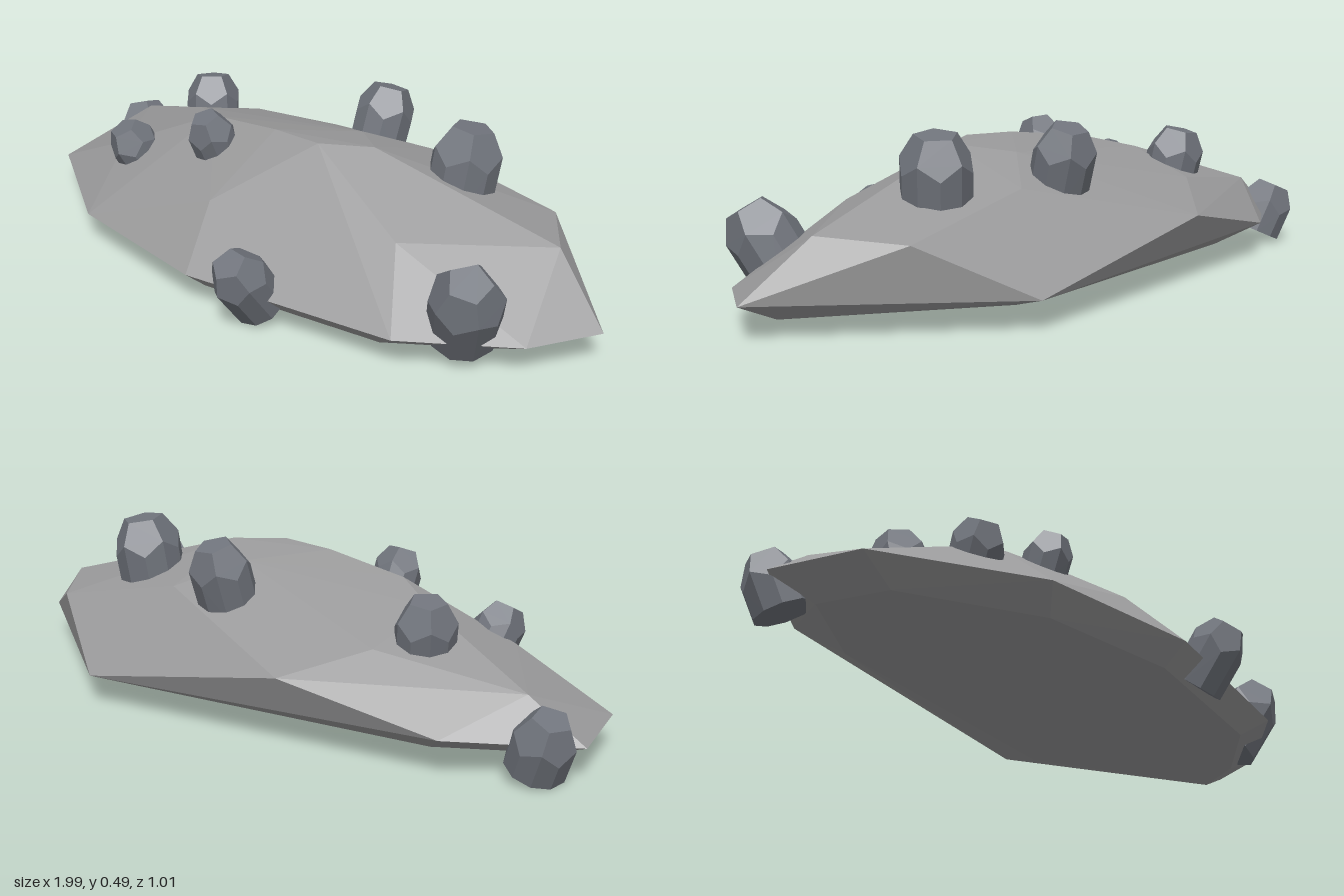
import * as THREE from 'three';
import { ConvexGeometry } from 'three/addons/geometries/ConvexGeometry.js';

const stone = new THREE.MeshStandardMaterial({ color: 0x9a9a9b, flatShading: true });
stone.name = 'pale stone';
const pebbleGrey = new THREE.MeshStandardMaterial({ color: 0x70747c, flatShading: true });
pebbleGrey.name = 'slate grey';

const V = (x, y, z) => new THREE.Vector3(x, y, z);

function hull(points, material, name) {
  const mesh = new THREE.Mesh(new ConvexGeometry(points), material);
  mesh.name = name;
  return mesh;
}

// Half dodecahedron dome on a straight ten-sided stem, aimed along an axis
function makePebble([x, y, z], axis, r, depth, spin) {
  const points = [];
  for (let i = 0; i < 5; i++) {
    const a = spin + (i * Math.PI * 2) / 5;
    const ring = (angle, radius, h) => points.push(V(Math.cos(angle) * radius, h, Math.sin(angle) * radius));
    ring(a, 0.607 * r, 0.795 * r);
    ring(a, 0.982 * r, 0.188 * r);
    ring(a + Math.PI / 5, 0.982 * r, -0.188 * r);
    ring(a, 0.97 * r, -depth);
    ring(a + Math.PI / 5, 0.97 * r, -depth);
  }
  const mesh = hull(points, pebbleGrey, 'pebble');
  mesh.position.set(x, y, z);
  mesh.quaternion.setFromUnitVectors(V(0, 1, 0), V(...axis).normalize());
  return mesh;
}

export function createModel() {
  const group = new THREE.Group();
  group.name = 'rockMound';

  // Widest edge of the mound
  const rim = [
    V(0.38, 0.08, -0.505), V(-0.70, 0.10, -0.35), V(-0.995, 0.085, -0.13),
    V(-0.93, 0.085, 0.13), V(-0.52, 0.09, 0.38), V(-0.02, 0.09, 0.445),
    V(0.62, 0.09, 0.33), V(0.89, 0.085, 0.12), V(0.995, 0.09, -0.07),
  ];
  // Flat underside, drawn in from the rim
  const base = rim.map((p) => V(p.x * 0.87, 0.03, p.z * (p.z < 0 ? 0.7 : 0.84)));
  // Shoulders and the offset crest
  const crest = [
    V(0.81, 0.25, -0.13), V(0.66, 0.235, -0.33), V(-0.27, 0.20, -0.46),
    V(-0.84, 0.20, -0.16), V(-0.44, 0.265, -0.27), V(-0.46, 0.33, -0.04),
    V(-0.31, 0.37, 0.05), V(-0.04, 0.405, 0.065), V(0.13, 0.412, 0.07),
    V(0.26, 0.41, -0.02), V(0.12, 0.385, -0.13), V(0.25, 0.32, -0.29),
    V(-0.08, 0.245, 0.29), V(0.49, 0.26, 0.16), V(-0.63, 0.22, 0.13),
  ];
  group.add(hull([...rim, ...base, ...crest], stone, 'mound'));

  // Pebbles: position, axis, radius, stem depth, spin
  const pebbles = [
    [[0.08, 0.40, -0.28], [0.05, 1, -0.3], 0.088, 0.12, 0.3],
    [[0.455, 0.395, -0.185], [0.1, 1, -0.12], 0.1, 0.14, 0.9],
    [[-0.525, 0.32, -0.15], [-0.15, 1, -0.15], 0.085, 0.1, 0.2],
    [[-0.915, 0.11, -0.2], [-0.4, 1, -0.2], 0.085, 0.09, 0.5],
    [[-0.555, 0.25, 0.165], [-0.2, 1, 0.5], 0.073, 0.06, 0.1],
    [[-0.23, 0.365, 0.14], [-0.05, 1, 0.4], 0.07, 0.06, 0.7],
    [[0.175, 0.15, 0.43], [0.02, 0.8, 0.61], 0.082, 0.13, 0.4],
    [[0.75, 0.2, 0.19], [0.4, 1, 0.45], 0.1, 0.15, 0.6],
  ];
  for (const p of pebbles) group.add(makePebble(...p));

  return group;
}
